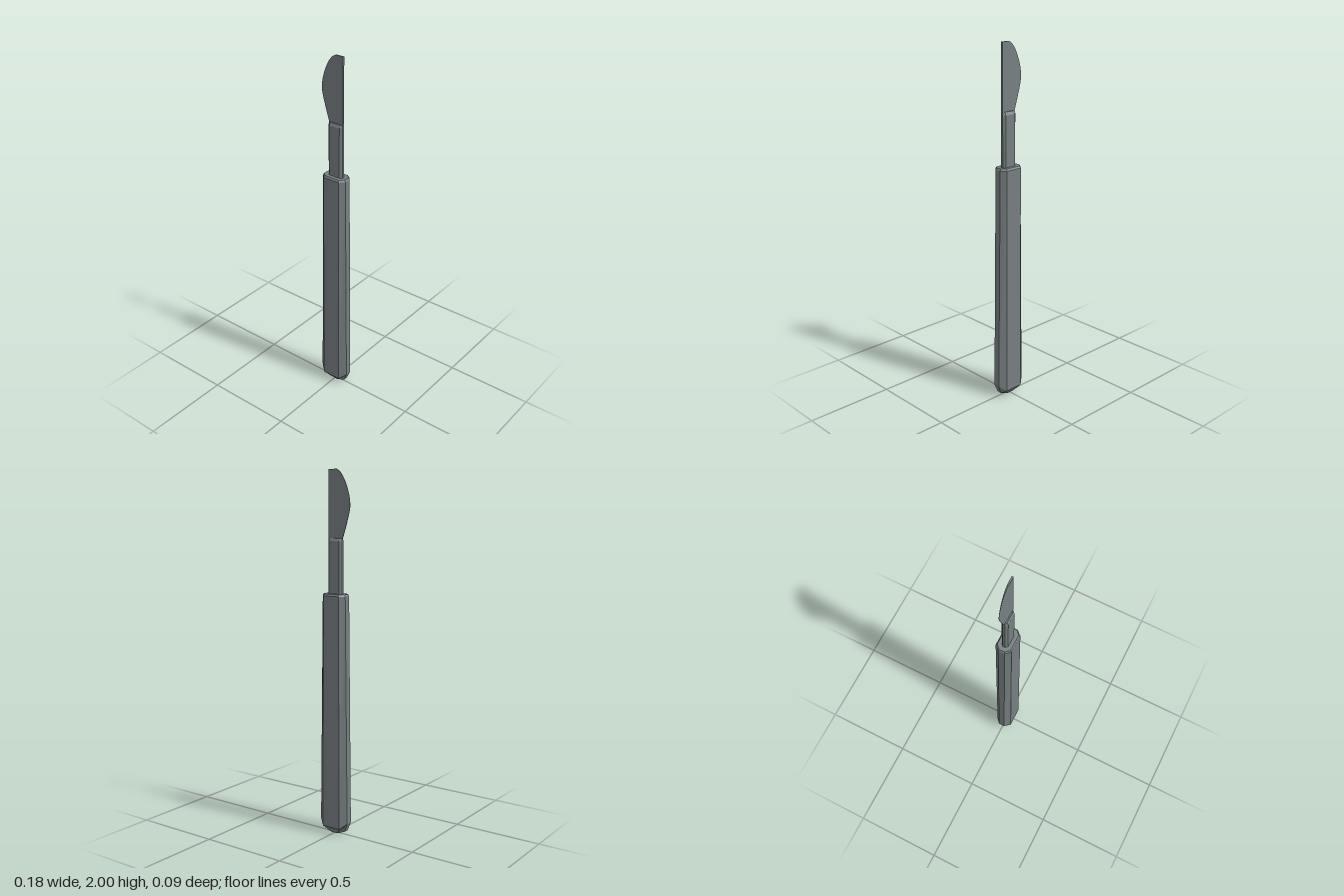
import * as THREE from 'three';

const steel = new THREE.MeshStandardMaterial({ color: 0x777f81, flatShading: true });
steel.name = 'brushed steel';

// Eight corners, counter-clockwise seen from below: side half-width w, front flat
// half-width f, half-depth d, side flat half-depth s; ySide and yFront are heights.
function octagon(ySide, w, f, d, s, yFront = ySide) {
  return [
    [w, ySide, s], [w, ySide, -s], [f, yFront, -d], [-f, yFront, -d],
    [-w, ySide, -s], [-w, ySide, s], [-f, yFront, d], [f, yFront, d],
  ];
}

// Skin a stack of rings from bottom to top and close both ends
function loft(rings) {
  const n = rings[0].length, index = [];
  const points = rings.flat();
  for (let r = 0; r < rings.length - 1; r++) {
    for (let i = 0; i < n; i++) {
      const a = r * n + i, b = r * n + (i + 1) % n;
      index.push(a, b, b + n, a, b + n, a + n);
    }
  }
  for (const [ring, top] of [[0, false], [rings.length - 1, true]]) {
    const c = points.length, mid = [0, 0, 0];
    rings[ring].forEach(p => p.forEach((v, k) => { mid[k] += v / n; }));
    if (!top) mid[1] = 0;
    points.push(mid);
    for (let i = 0; i < n; i++) {
      const a = ring * n + i, b = ring * n + (i + 1) % n;
      if (top) index.push(a, b, c);
      else index.push(b, a, c);
    }
  }
  const g = new THREE.BufferGeometry();
  g.setAttribute('position', new THREE.Float32BufferAttribute(points.flat(), 3));
  g.setIndex(index);
  const flat = g.toNonIndexed();
  flat.computeVertexNormals();
  return flat;
}

export function createModel() {
  const group = new THREE.Group();
  group.name = 'scalpel';
  const add = (name, geometry) => {
    const mesh = new THREE.Mesh(geometry, steel);
    mesh.name = name;
    group.add(mesh);
  };

  // Tapered eight-sided handle with a wedge-shaped butt
  add('handle', loft([
    octagon(0.02, 0.07, 0.022, 0.015, 0.014, 0),
    octagon(0.07, 0.09, 0.055, 0.047, 0.018, 0.04),
    octagon(1.335, 0.074, 0.05, 0.045, 0.018),
    octagon(1.345, 0.068, 0.046, 0.038, 0.016),
  ]));

  // Slim neck between handle and blade
  add('neck', loft([
    octagon(1.33, 0.045, 0.033, 0.018, 0.007),
    octagon(1.625, 0.045, 0.033, 0.018, 0.007),
    octagon(1.64, 0.042, 0.031, 0.01, 0.005),
  ]));

  // Blade with a straight spine and a curved cutting edge
  const outline = new THREE.Shape();
  outline.moveTo(0.045, 1.625);
  outline.lineTo(0.045, 2);
  outline.lineTo(-0.004, 2);
  outline.splineThru([
    [-0.03, 1.982], [-0.058, 1.94], [-0.08, 1.885], [-0.091, 1.835],
    [-0.09, 1.79], [-0.068, 1.71], [-0.04, 1.625],
  ].map(p => new THREE.Vector2(...p)));
  const blade = new THREE.ExtrudeGeometry(outline, { depth: 2, bevelEnabled: false, curveSegments: 18 });
  blade.translate(0, 0, -1);
  // Thin the plate from the spine to the edge
  const pos = blade.attributes.position;
  for (let i = 0; i < pos.count; i++) {
    const t = (pos.getX(i) + 0.094) / 0.139;
    pos.setZ(i, pos.getZ(i) * (0.0005 + 0.0045 * t));
  }
  blade.computeVertexNormals();
  add('blade', blade);

  return group;
}
